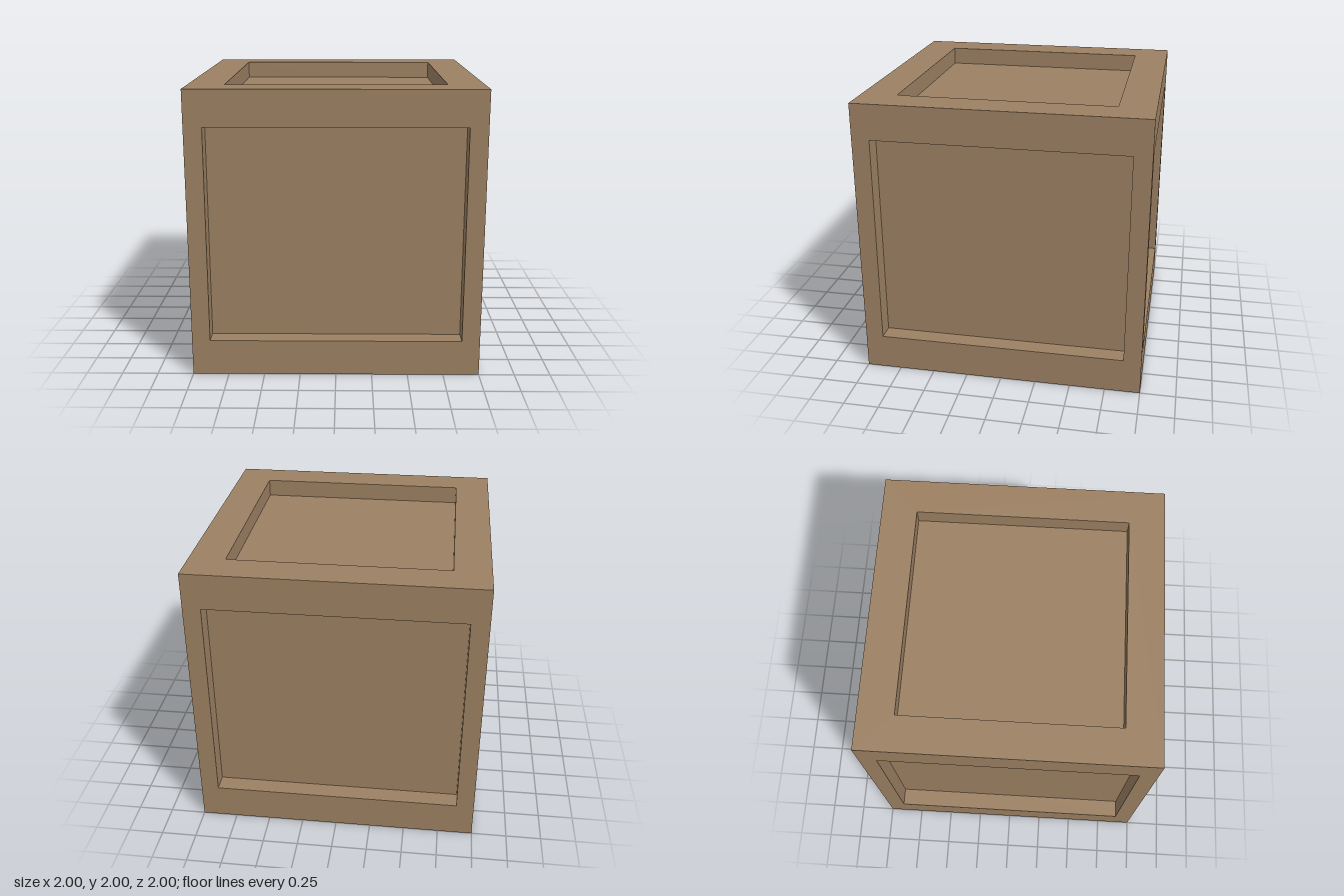
import * as THREE from 'three';

const SIZE = 2;      // outer cube
const RAIL = 0.25;   // square section of the top and bottom rails
const POST = 0.125;  // square section of the corner posts, also the panel recess

export function createModel() {
  const crate = new THREE.Group();
  crate.name = 'crate';
  const wood = new THREE.MeshStandardMaterial({ color: 0x9c8062 });
  wood.name = 'brown wood';

  const add = (name, geometry, x, y, z) => {
    const mesh = new THREE.Mesh(geometry, wood);
    mesh.name = name;
    mesh.position.set(x, y, z);
    crate.add(mesh);
  };

  // Recessed panels: one inner box showing through all six openings
  const inner = SIZE - 2 * POST;
  add('recessedPanels', new THREE.BoxGeometry(inner, inner, inner), 0, SIZE / 2, 0);

  // Square rail frames at the bottom and top, with an opening in the middle
  const square = (half) => [[-half, -half], [half, -half], [half, half], [-half, half]]
    .map(([x, y]) => new THREE.Vector2(x, y));
  const outline = new THREE.Shape(square(SIZE / 2));
  outline.holes.push(new THREE.Path(square(SIZE / 2 - RAIL).reverse()));
  const frame = new THREE.ExtrudeGeometry(outline, { depth: RAIL, bevelEnabled: false });
  frame.rotateX(-Math.PI / 2);
  add('bottomFrame', frame, 0, 0, 0);
  add('topFrame', frame, 0, SIZE - RAIL, 0);

  // Corner posts between the frames
  const post = new THREE.BoxGeometry(POST, SIZE - 2 * RAIL, POST);
  const offset = (SIZE - POST) / 2;
  for (const [xName, x] of [['Left', 1], ['Right', -1]]) {
    for (const [zName, z] of [['front', 1], ['back', -1]]) {
      add(`${zName}${xName}Post`, post, x * offset, SIZE / 2, z * offset);
    }
  }

  return crate;
}
